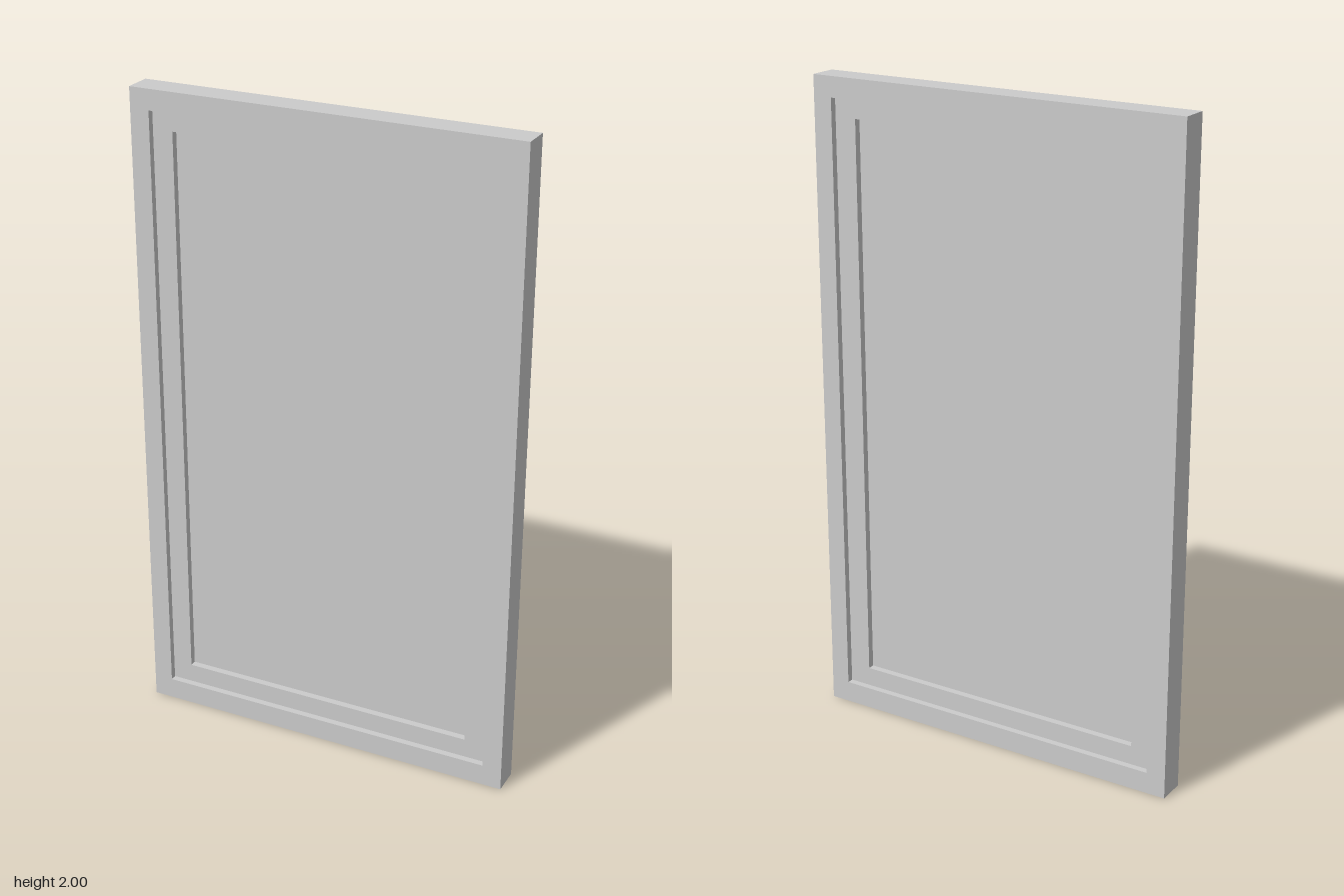
import * as THREE from 'three';

const material = new THREE.MeshStandardMaterial({ color: 0xcccccc, flatShading: true });

// Rectangular ring extruded symmetrically about z = 0; bounds are [left, right, bottom, top]
function ring(name, outer, inner, depth) {
  const corners = ([l, r, b, t]) => [[l, b], [r, b], [r, t], [l, t]].map(([x, y]) => new THREE.Vector2(x, y));
  const shape = new THREE.Shape(corners(outer));
  shape.holes.push(new THREE.Path(corners(inner).reverse()));
  const geometry = new THREE.ExtrudeGeometry(shape, { depth, bevelEnabled: false });
  geometry.translate(0, 0, -depth / 2);
  const mesh = new THREE.Mesh(geometry, material);
  mesh.name = name;
  return mesh;
}

export function createModel() {
  const group = new THREE.Group();
  group.name = 'window';

  const outside = [-0.597, 0.597, 0, 2];
  const rebate = [-0.537, 0.537, 0.067, 1.938];
  const opening = [-0.474, 0.468, 0.127, 1.88];

  // Outer frame and the thinner sash set inside it
  group.add(ring('outerFrame', outside, rebate, 0.088));
  group.add(ring('sash', rebate, opening, 0.048));

  // Thin pane in the middle of the sash
  const [l, r, b, t] = opening;
  const pane = new THREE.Mesh(new THREE.BoxGeometry(r - l, t - b, 0.006), material);
  pane.position.set((l + r) / 2, (b + t) / 2, 0);
  pane.name = 'pane';
  group.add(pane);

  return group;
}
